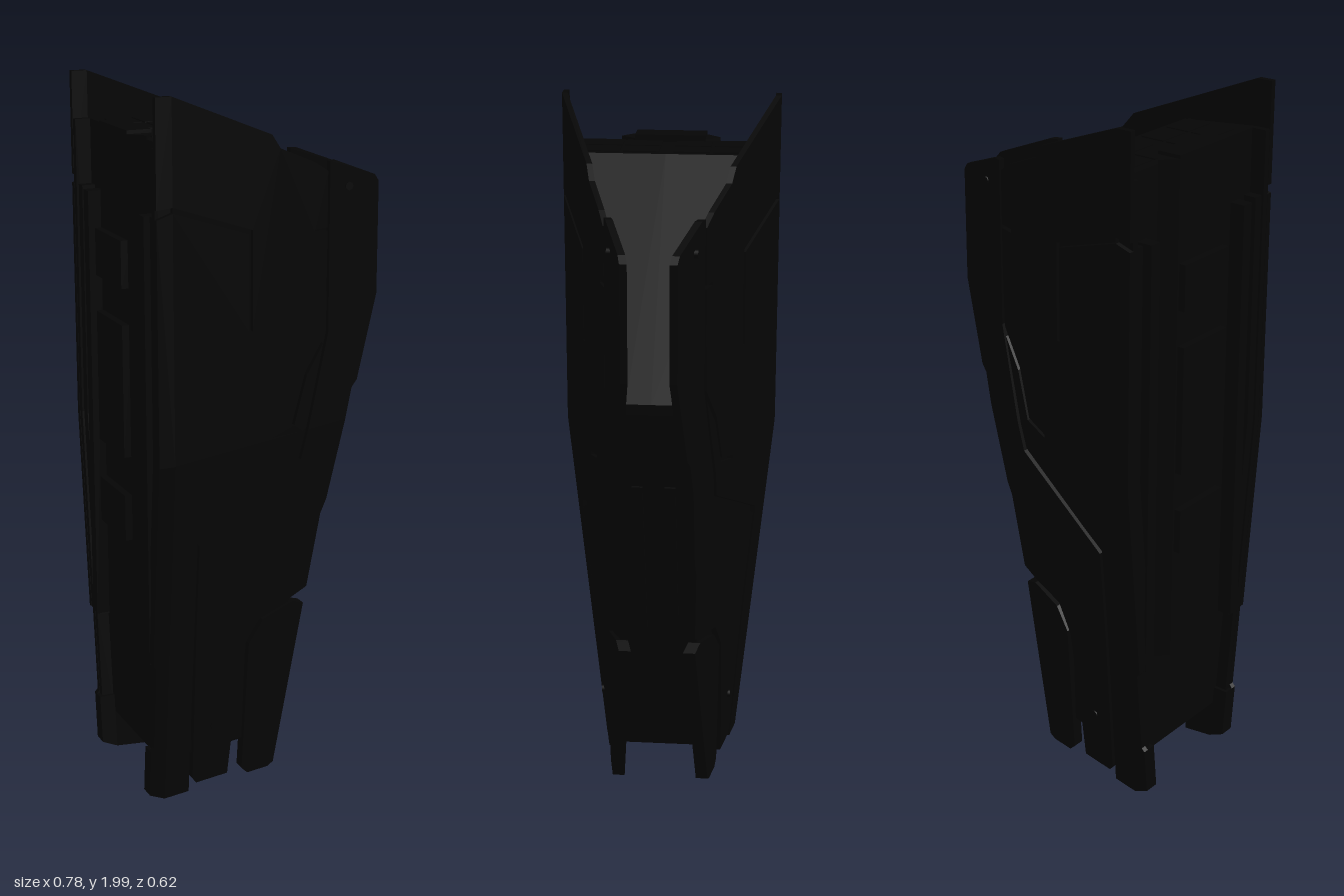
import * as THREE from 'three';
import { mergeGeometries } from 'three/addons/utils/BufferGeometryUtils.js';

const black = new THREE.MeshStandardMaterial({ color: 0x050505 });
black.name = 'matte black';

const CREASE_X = -0.33, LOW_CREASE = 0.5, HIGH_CREASE = 1.03;

// Half-width of the wedge hull at a point of its side
function skin(x, y) {
  const dx = Math.max(0, x - CREASE_X);
  const low = Math.min(1, y / LOW_CREASE);
  const high = THREE.MathUtils.clamp((y - LOW_CREASE) / (HIGH_CREASE - LOW_CREASE), 0, 1);
  return 0.205 + 0.105 * Math.min(1, y / HIGH_CREASE) - dx * (0.17 + 0.135 * low + 0.022 * high);
}

// Keep the part of a polygon on one side of an axis-aligned line
function clip(points, axis, value, sign) {
  const out = [];
  points.forEach((a, i) => {
    const b = points[(i + 1) % points.length];
    const da = sign * (a[axis] - value), db = sign * (b[axis] - value);
    if (da >= 0) out.push(a);
    if (da * db < 0) {
      const t = da / (da - db);
      out.push([a[0] + (b[0] - a[0]) * t, a[1] + (b[1] - a[1]) * t]);
    }
  });
  return out;
}

// Plate that follows the hull side, cut at the creases; a thickness of 0 fills it to the middle
function plateGeometry(points, offset, thickness, side) {
  const pieces = [];
  const levels = [-1, LOW_CREASE, HIGH_CREASE, 3];
  for (const sx of [-1, 1]) for (let k = 0; k < 3; k++) {
    const half = clip(points, 0, CREASE_X, sx);
    const part = clip(clip(half, 1, levels[k], 1), 1, levels[k + 1], -1);
    if (part.length < 3) continue;
    const outline = part.map(p => new THREE.Vector2(p[0], p[1]));
    if (Math.abs(THREE.ShapeUtils.area(outline)) < 1e-5) continue;
    const geo = new THREE.ExtrudeGeometry(new THREE.Shape(outline), { depth: 1, bevelEnabled: false });
    const pos = geo.attributes.position;
    for (let i = 0; i < pos.count; i++) {
      const outer = skin(pos.getX(i), pos.getY(i)) + offset;
      const inner = thickness ? outer - thickness : 0;
      const isOuter = (pos.getZ(i) > 0.5) === (side > 0);
      pos.setZ(i, side * (isOuter ? outer : inner));
    }
    geo.computeVertexNormals();
    pieces.push(geo);
  }
  return mergeGeometries(pieces);
}

export function createModel() {
  const model = new THREE.Group();
  model.name = 'wedgeHull';

  const add = (name, geo) => {
    const mesh = new THREE.Mesh(geo, black);
    mesh.name = name;
    model.add(mesh);
    return mesh;
  };
  const plate = (name, points, offset, thickness) => {
    for (const side of [1, -1]) {
      add((side > 0 ? 'front' : 'back') + name, plateGeometry(points, offset, thickness, side));
    }
  };
  const box = (name, w, h, d, x, y, z) => {
    const mesh = add(name, new THREE.BoxGeometry(w, h, d));
    mesh.position.set(x, y, z);
    return mesh;
  };

  // Solid core with a flat deck and a steep nose slope
  plate('Core', [
    [-0.33, 0.12], [0.015, 0.12], [0.1, 0.5], [0.265, 1.1], [0.32, 1.27], [0.32, 1.3],
    [-0.14, 1.87], [-0.33, 1.87],
  ], -0.03, 0);

  // Recessed skin seen in the seams
  plate('InnerSkin', [
    [-0.365, 0.15], [-0.22, 0.12], [0, 0.12], [0.1, 0.5], [0.27, 1.1], [0.32, 1.27], [0.32, 1.3],
    [-0.14, 1.87], [-0.374, 1.87], [-0.374, 0.44], [-0.365, 0.43],
  ], -0.014, 0.02);

  // Large upper plate with its rear leg, seam slots and slit
  plate('UpperPlate', [
    [-0.375, 0.03], [-0.33, 0.01], [-0.25, 0.01], [-0.25, 0.79], [0.1, 0.96], [0.19, 1.27],
    [0.13, 1.19], [0.085, 1.055], [0, 1.035], [0, 1.045], [0.077, 1.065], [0.12, 1.2], [0.195, 1.3],
    [0.2, 1.47], [0.2, 1.585], [0.155, 1.585], [0.155, 1.595], [0.2, 1.595], [0.2, 1.75], [0.15, 1.78],
    [0.03, 1.83], [0, 1.87], [-0.33, 2], [-0.375, 2], [-0.375, 1.715], [-0.33, 1.72],
    [-0.065, 1.625], [-0.065, 1.35], [-0.077, 1.35], [-0.077, 1.615], [-0.33, 1.705], [-0.375, 1.69],
    [-0.375, 0.44], [-0.366, 0.43], [-0.366, 0.18], [-0.375, 0.17],
  ], 0, 0.016);

  // Thickening of the rear and middle legs
  plate('RearLeg', [
    [-0.375, 0.03], [-0.33, 0.01], [-0.25, 0.01], [-0.25, 0.17], [-0.375, 0.17],
  ], -0.014, 0.03);
  plate('MiddleLeg', [
    [-0.238, 0.05], [-0.225, 0.03], [-0.12, 0.03], [-0.11, 0.14], [-0.238, 0.14],
  ], -0.018, 0.03);

  // Rear corner wall
  plate('RearWall', [[-0.368, 0.43], [-0.32, 0.43], [-0.32, 1.69], [-0.368, 1.69]], -0.012, 0.05);

  // Lower plate sweeping up into the tall nose fin
  plate('LowerPlate', [
    [-0.238, 0.05], [-0.225, 0.03], [-0.12, 0.03], [-0.11, 0.12], [-0.065, 0.42], [-0.01, 0.5],
    [0.1, 0.52], [0.16, 0.54], [0.2, 0.76], [0.22, 0.8], [0.3, 1.12], [0.32, 1.14], [0.39, 1.38],
    [0.39, 1.7], [0.375, 1.72], [0.23, 1.775], [0.208, 1.775], [0.208, 1.3], [0.115, 0.945], [-0.238, 0.775],
  ], 0, 0.02);

  // Lower nose fin
  plate('LowerFin', [
    [-0.07, 0.03], [-0.05, 0.01], [0.02, 0.01], [0.04, 0.02], [0.15, 0.49], [0.11, 0.505], [0, 0.48], [-0.05, 0.42],
  ], 0, 0.035);

  // Bolts on the plates
  for (const side of [1, -1]) {
    for (const [x, y] of [[0.275, 1.7], [-0.17, 0.2]]) {
      const bolt = add('bolt', new THREE.CylinderGeometry(0.012, 0.012, 0.015, 8));
      bolt.rotation.x = Math.PI / 2;
      bolt.position.set(x, y, side * skin(x, y));
    }
  }

  // Rear spine with chamfered sides
  const spineShape = new THREE.Shape([
    [-0.3, -0.1], [-0.3, 0.1], [-0.33, 0.14], [-0.37, 0.1], [-0.37, -0.1], [-0.33, -0.14],
  ].map(([x, z]) => new THREE.Vector2(x, -z)));
  const spine = new THREE.ExtrudeGeometry(spineShape, { depth: 1.45, bevelEnabled: false });
  spine.rotateX(-Math.PI / 2);
  add('rearSpine', spine).position.y = 0.43;
  box('spineCap', 0.07, 0.02, 0.2, -0.335, 1.88, 0);

  // Raised spine blocks
  for (const [low, high] of [[0.76, 0.89], [1.0, 1.37], [1.47, 1.6]]) {
    box('spineBlock', 0.03, high - low, 0.19, -0.375, (low + high) / 2, 0);
  }

  // Rear rails between the spine and the corner walls
  for (const side of [1, -1]) box('rearRail', 0.045, 1.25, 0.035, -0.352, 1.06, side * 0.203);

  // Deck panels on top
  for (const x of [-0.27, -0.19]) {
    for (const z of [-0.18, -0.07, 0.07, 0.18]) box('deckPanel', 0.07, 0.006, 0.1, x, 1.871, z);
  }

  // Low rails on the sloping nose
  for (const side of [1, -1]) {
    box('noseRail', 0.02, 0.5, 0.03, 0.179, 0.8, side * 0.045).rotation.z = -Math.atan2(0.165, 0.6);
  }

  return model;
}
